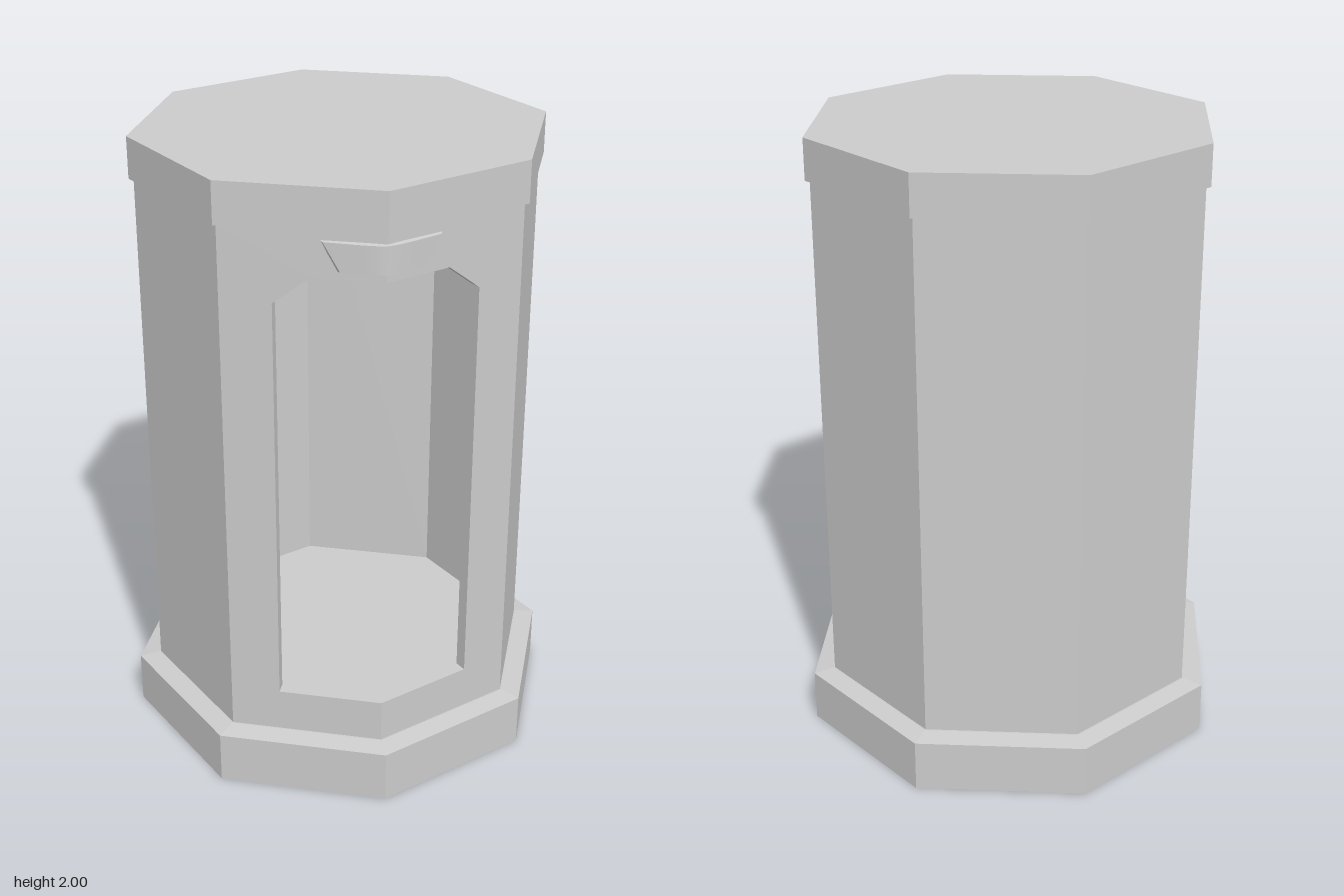
import * as THREE from 'three';

const STEP = Math.PI / 4, HALF = Math.PI / 8;
const R = 0.63, WALL = 0.04, Y0 = 0.17, Y1 = 1.87;
const SIDE = 2 * R * Math.sin(HALF);

const grey = new THREE.MeshStandardMaterial({ color: 0xcccccc, flatShading: true });
const smoothGrey = new THREE.MeshStandardMaterial({ color: 0xcccccc });

function add(parent, name, geometry, material = grey) {
  const mesh = new THREE.Mesh(geometry, material);
  mesh.name = name;
  parent.add(mesh);
  return mesh;
}

// Eight-sided block with a corner facing the front
function octagon(parent, name, rTop, rBottom, yBottom, yTop) {
  const g = new THREE.CylinderGeometry(rTop, rBottom, yTop - yBottom, 8);
  g.translate(0, (yBottom + yTop) / 2, 0);
  return add(parent, name, g);
}

// Wall panel outline given as [distance along the side, height], mitred at both ends
function panel(points) {
  const shape = new THREE.Shape(points.map(([u, y]) => new THREE.Vector2(u, y)));
  const g = new THREE.ExtrudeGeometry(shape, { depth: WALL, bevelEnabled: false });
  const p = g.attributes.position, mitre = WALL * Math.tan(HALF);
  for (let i = 0; i < p.count; i++) {
    if (p.getZ(i) > WALL / 2) continue;
    const u = p.getX(i);
    if (u < 1e-4) p.setX(i, mitre);
    else if (u > SIDE - 1e-4) p.setX(i, SIDE - mitre);
  }
  g.translate(-SIDE / 2, 0, R * Math.cos(HALF) - WALL);
  g.computeVertexNormals();
  return g;
}

// Curved wedge above the doorway, following the corner of the walls
function keystoneGeometry() {
  const g = new THREE.BoxGeometry(2, 1, 1, 12, 1, 1);
  const p = g.attributes.position;
  for (let i = 0; i < p.count; i++) {
    const s = p.getX(i), top = p.getY(i) > 0, front = p.getZ(i) > 0;
    const x = s * ((top ? 0.177 : 0.132) - (front ? 0.008 : 0));
    const y = (top ? 1.847 : 1.75) + (front ? (top ? -0.006 : 0.006) : 0);
    const wallZ = R - Math.abs(x) * Math.tan(HALF);
    const frontZ = 0.652 - Math.hypot(x * 0.48, 0.015);
    p.setXYZ(i, x, y, front ? frontZ : wallZ - 0.015);
  }
  g.computeVertexNormals();
  return g;
}

export function createModel() {
  const model = new THREE.Group();
  model.name = 'booth';

  // Plinth with a slightly sloped top, and the roof slab
  octagon(model, 'base', 0.7, 0.7, 0, Y0);
  octagon(model, 'baseTop', 0.635, 0.7, Y0, 0.18);
  octagon(model, 'roof', 0.645, 0.645, Y1, 2);

  // Six plain walls and two front walls that share the doorway
  const walls = new THREE.Group();
  walls.name = 'walls';
  model.add(walls);
  const plain = [[0, Y0], [SIDE, Y0], [SIDE, Y1], [0, Y1]];
  const w = 0.302 / Math.cos(HALF), n = 0.2 / Math.cos(HALF);
  const door = [[0, Y0], [SIDE, Y0], [SIDE, Y1], [0, Y1],
    [0, 1.73], [n, 1.73], [w, 1.645], [w, 0.32], [0, 0.32]];
  for (let k = 0; k < 8; k++) {
    let points = plain, name = 'wall';
    if (k === 0) { points = door; name = 'leftDoorWall'; }
    if (k === 7) { points = door.map(([u, y]) => [SIDE - u, y]); name = 'rightDoorWall'; }
    add(walls, name, panel(points)).rotation.y = HALF + k * STEP;
  }

  add(model, 'keystone', keystoneGeometry(), smoothGrey);
  return model;
}
